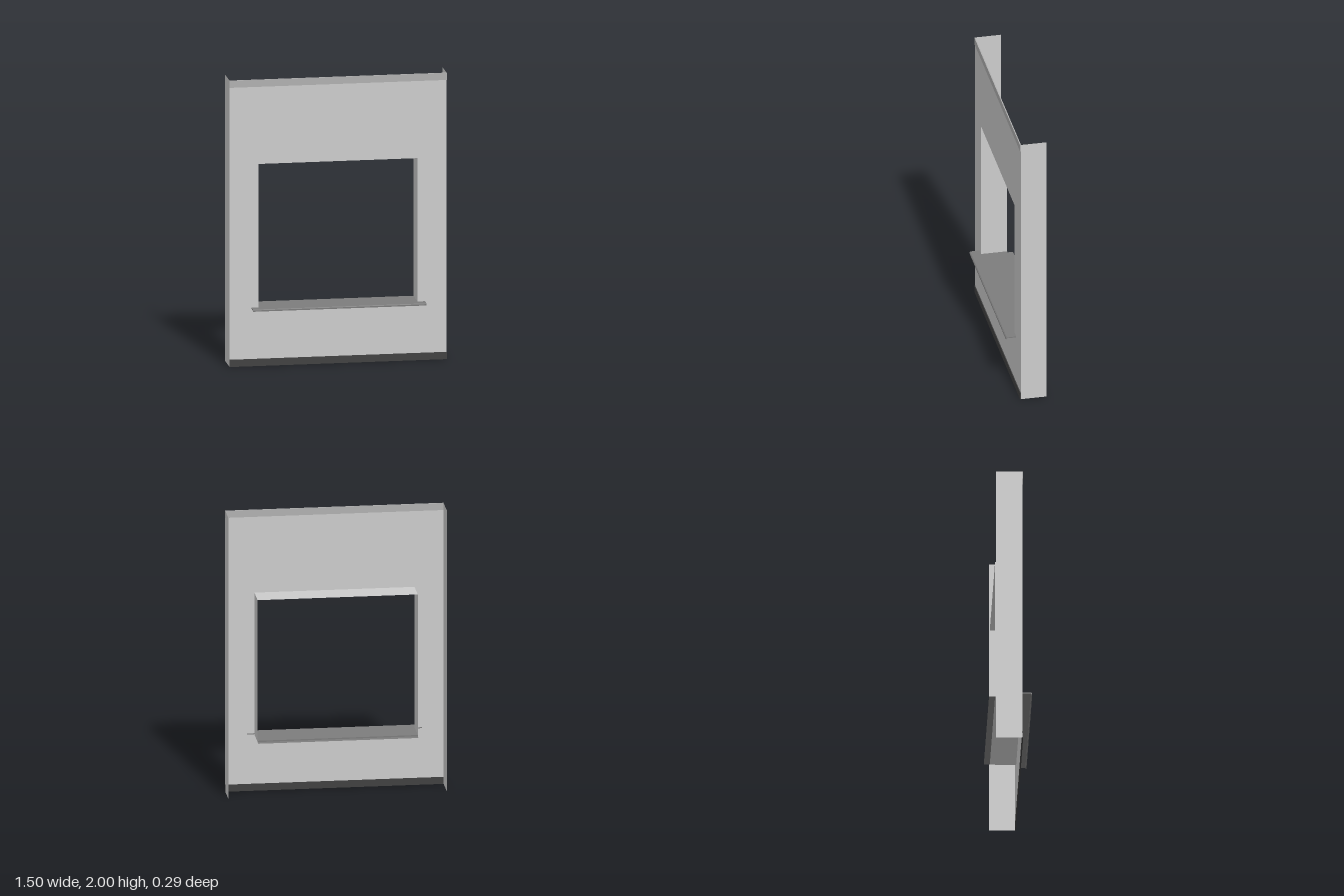
import * as THREE from 'three';

const W = 0.75, FRONT = 0.073, BACK = -0.107;      // panel half width and depth
const OW = 0.55, OY0 = 0.4, OY1 = 1.41;            // window opening

const material = (color) => new THREE.MeshStandardMaterial({ color, side: THREE.DoubleSide, flatShading: true });

export function createModel() {
  const model = new THREE.Group();
  const wallMat = material(0xcccccc);
  const sillMat = material(0x7c7c7c);
  const topMat = material(0xb0b0b0);
  const baseMat = material(0x404040);

  const add = (name, geometry, mat, x = 0, y = 0, z = 0) => {
    const mesh = new THREE.Mesh(geometry, mat);
    mesh.name = name;
    mesh.position.set(x, y, z);
    model.add(mesh);
    return mesh;
  };
  const depth = FRONT - BACK, midZ = (FRONT + BACK) / 2;

  // upright sheet running back from the wall
  const sideSheet = (name, x, y0, y1) => {
    const g = new THREE.PlaneGeometry(depth, y1 - y0).rotateY(Math.sign(x) * Math.PI / 2);
    add(name, g, wallMat, x, (y0 + y1) / 2, midZ);
  };
  // level sheet
  const levelSheet = (name, halfWidth, y, z0, z1, mat) => {
    const g = new THREE.PlaneGeometry(halfWidth * 2, z1 - z0).rotateX(-Math.PI / 2);
    add(name, g, mat, 0, y, (z0 + z1) / 2);
  };
  const rect = (target, x, y0, y1) => {
    target.moveTo(-x, y0);
    target.lineTo(x, y0);
    target.lineTo(x, y1);
    target.lineTo(-x, y1);
    target.closePath();
    return target;
  };

  // wall sheet with window opening
  const wall = rect(new THREE.Shape(), W, 0.05, 1.95);
  wall.holes.push(rect(new THREE.Path(), OW, OY0, OY1));
  add('wallPanel', new THREE.ShapeGeometry(wall), wallMat, 0, 0, FRONT);

  // trim strips along the top and bottom
  const strip = new THREE.BoxGeometry(W * 2, 0.05, 0.007);
  add('topStrip', strip, topMat, 0, 1.975, FRONT + 0.002);
  add('baseStrip', strip, baseMat, 0, 0.025, FRONT + 0.002);

  // side returns and window reveals
  for (const [side, s] of [['left', 1], ['right', -1]]) {
    sideSheet(side + 'Return', s * W, 0, 2);
    sideSheet(side + 'Reveal', s * OW, OY0, OY1);
  }
  levelSheet('topReveal', OW, OY1, BACK, FRONT, wallMat);
  levelSheet('bottomReveal', OW, OY0, BACK, FRONT, wallMat);

  // sill: floor in the opening, thin flange behind it, bent nose in front
  levelSheet('sillFloor', OW, 0.409, BACK, FRONT, sillMat);
  levelSheet('sillBackFlange', OW, 0.4, -0.148, BACK, sillMat);
  add('sillBackEdge', new THREE.PlaneGeometry(OW * 2, 0.009).rotateY(Math.PI), sillMat, 0, 0.4045, BACK);

  const nose = new THREE.Shape([
    [0.072, 0.409], [0.139, 0.409], [0.145, 0.404], [0.145, 0.395],
    [0.139, 0.395], [0.137, 0.402], [0.072, 0.402],
  ].map(([z, y]) => new THREE.Vector2(-z, y)));
  const noseGeometry = new THREE.ExtrudeGeometry(nose, { depth: 1.2, bevelEnabled: false })
    .translate(0, 0, -0.6).rotateY(Math.PI / 2);
  add('sillNose', noseGeometry, sillMat);

  return model;
}
